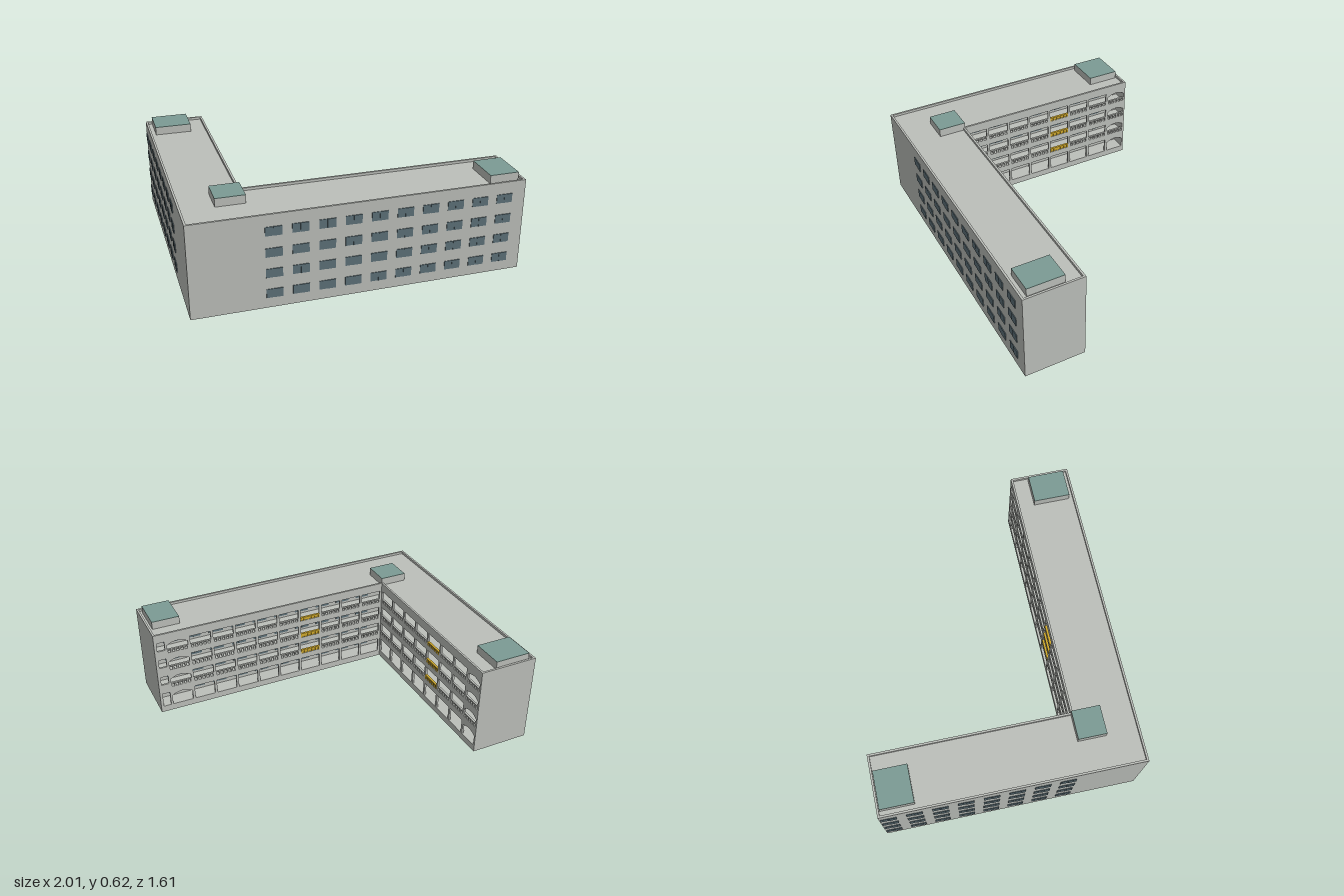
import * as THREE from 'three';

const mat = (name, color) => {
  const m = new THREE.MeshStandardMaterial({ color });
  m.name = name;
  return m;
};

export function createModel() {
  const concrete = mat('concrete', 0xbcbfba);
  const glass = mat('window glass', 0x5c7078);
  const teal = mat('roof teal', 0x7c9b94);
  const yellow = mat('yellow railing', 0xd2ab2c);

  const root = new THREE.Group();
  root.name = 'building';
  const add = (parent, name, geo, material, x = 0, y = 0, z = 0) => {
    const m = new THREE.Mesh(geo, material);
    m.name = name;
    m.position.set(x, y, z);
    parent.add(m);
    return m;
  };
  // Box given by its minimum and maximum corners
  const box = (parent, name, material, x0, x1, y0, y1, z0, z1) =>
    add(parent, name, new THREE.BoxGeometry(x1 - x0, y1 - y0, z1 - z0), material,
      (x0 + x1) / 2, (y0 + y1) / 2, (z0 + z1) / 2);

  const H = 0.583, Z = 0.804;          // wall height, half depth
  const IX = -0.62, IZ = 0.425;        // courtyard faces of the two wings
  const T = 0.013, D = 0.1;            // wall thickness, gallery depth
  const PITCH = 0.154, W = 0.138;      // bay spacing, opening width
  const floors = [0.043, 0.178, 0.307, 0.437];
  const sills = [0.043, 0.208, 0.338, 0.463];
  const heads = [0.139, 0.268, 0.398, 0.524];
  const rows = [0.092, 0.221, 0.35, 0.481];

  // L-shaped plates: 'back' pulls in the courtyard edge, 'e' the outer edges
  const plate = (name, y0, y1, back, e) => {
    const s = new THREE.Shape([
      [-1 + e, -Z + e], [1 - e, -Z + e], [1 - e, -IZ - back],
      [IX - back, -IZ - back], [IX - back, Z - e], [-1 + e, Z - e],
    ].map(([x, y]) => new THREE.Vector2(x, y)));
    const g = new THREE.ExtrudeGeometry(s, { depth: y1 - y0, bevelEnabled: false });
    g.rotateX(-Math.PI / 2);
    add(root, name, g, concrete, 0, y0, 0);
  };
  plate('core', 0.002, 0.55, D, 0.005);
  plate('base', 0, floors[0], 0.004, 0.004);
  floors.slice(1).forEach((y) => plate('gallerySlab', y - 0.022, y, 0.005, 0.005));
  plate('roof', 0.54, 0.567, 0.005, 0.005);

  // Outer walls, rising past the roof as a parapet
  box(root, 'frontWall', concrete, -1, 1, 0, H, Z - T, Z);
  box(root, 'sideWall', concrete, -1, -1 + T, 0, H, -Z, Z - T);
  box(root, 'longWingEnd', concrete, 1 - T, 1, 0, H, IZ, Z - T);
  box(root, 'shortWingEnd', concrete, -1 + T, IX, 0, H, -Z, -Z + T);

  // Courtyard arcade: u runs along the wall, local +z faces the courtyard
  const rect = (a, b, y0, y1) => new THREE.Path([
    [a, y0], [a, y1], [b, y1], [b, y0],
  ].map(([x, y]) => new THREE.Vector2(x, y)));
  const arcade = (name, length, bays) => {
    const g = new THREE.Group();
    g.name = name;
    root.add(g);
    const wall = new THREE.Shape([[0, 0], [length, 0], [length, H], [0, H]]
      .map(([x, y]) => new THREE.Vector2(x, y)));
    for (const { a, b, arch, gold, plain } of bays) {
      for (let f = 0; f < 4; f++) {
        const y0 = sills[f], y1 = heads[f] - (arch ? 0.008 : 0);
        const isGold = gold && f > 0;
        if (arch) {
          const p = new THREE.Path();
          p.moveTo(a, y0);
          p.lineTo(a, y1 - 0.022);
          p.quadraticCurveTo((a + b) / 2, y1 + 0.022, b, y1 - 0.022);
          p.lineTo(b, y0);
          p.closePath();
          wall.holes.push(p);
        } else {
          wall.holes.push(rect(a, b, isGold ? floors[f] : y0, y1));
        }
        if (f === 0 || plain) continue;
        const step = (b - a) / 5;
        if (isGold) {
          // Yellow balustrade filling the foot of the opening
          box(g, 'yellowRail', yellow, a, b, y0 - 0.008, y0, 0.001, T + 0.003);
          box(g, 'yellowPanel', yellow, a, b, floors[f], y0 - 0.008, 0.004, 0.008);
          for (let i = 0; i <= 5; i++) {
            const u = THREE.MathUtils.clamp(a + i * step, a + 0.004, b - 0.004);
            box(g, 'yellowPost', yellow, u - 0.004, u + 0.004, floors[f], y0 - 0.008, 0.002, T + 0.002);
          }
        } else {
          // Slots between the balusters
          for (let i = 0; i < 5; i++) {
            const u = a + i * step;
            wall.holes.push(rect(u + 0.005, u + step - 0.005, floors[f] + 0.002, y0 - 0.007));
          }
        }
      }
    }
    add(g, 'arcadeWall',
      new THREE.ExtrudeGeometry(wall, { depth: T, bevelEnabled: false, curveSegments: 10 }), concrete);
    return g;
  };

  // Short wing, facing +x
  const shortBays = [];
  for (let i = 0; i < 8; i++) {
    const a = IZ + T - 0.414 + i * PITCH;
    shortBays.push({ a, b: a + (i === 7 ? 0.13 : W), arch: i === 7, gold: i === 4 });
  }
  const shortArcade = arcade('shortWingArcade', Z + IZ + T, shortBays);
  shortArcade.rotation.y = Math.PI / 2;
  shortArcade.position.set(IX - T, 0, IZ + T);

  // Long wing, facing -z
  const longBays = [{ a: 0.018, b: 0.068, plain: true }];
  for (let i = 0; i < 10; i++) {
    const b = 1.606 - i * PITCH;
    longBays.push({ a: b - W, b, arch: i === 9, gold: i === 3 });
  }
  const longArcade = arcade('longWingArcade', 1 - IX, longBays);
  longArcade.rotation.y = Math.PI;
  longArcade.position.set(1, 0, IZ + T);

  // Sliding windows: two overlapping thin panes
  const pane = new THREE.BoxGeometry(0.05, 0.055, 0.005);
  const windowAt = (x, y, z, turn) => {
    const g = new THREE.Group();
    g.name = 'window';
    add(g, 'fixedPane', pane, glass, -0.0235, 0, 0.001);
    add(g, 'slidingPane', pane, glass, 0.0235, 0, 0.003);
    g.position.set(x, y, z);
    g.rotation.y = turn;
    root.add(g);
  };
  for (const y of rows) {
    for (let i = 0; i < 10; i++) {
      const x = -0.5185 + i * PITCH;
      windowAt(x, y, Z, 0);
      windowAt(x, y, IZ + D, Math.PI);
    }
    for (let i = 0; i < 8; i++) {
      const z = 0.3275 - i * PITCH;
      windowAt(-1, y, z, -Math.PI / 2);
      windowAt(IX - D, y, z, Math.PI / 2);
    }
  }

  // Stair heads on the roof with teal tops
  for (const [x0, x1, z0, z1] of [
    [-0.96, -0.73, -0.785, -0.58],
    [-0.797, -0.62, 0.425, 0.6],
    [0.79, 0.97, 0.535, 0.765],
  ]) {
    box(root, 'stairHead', concrete, x0, x1, 0.55, 0.616, z0, z1);
    box(root, 'stairHeadTop', teal, x0, x1, 0.616, 0.619, z0, z1);
  }
  return root;
}
